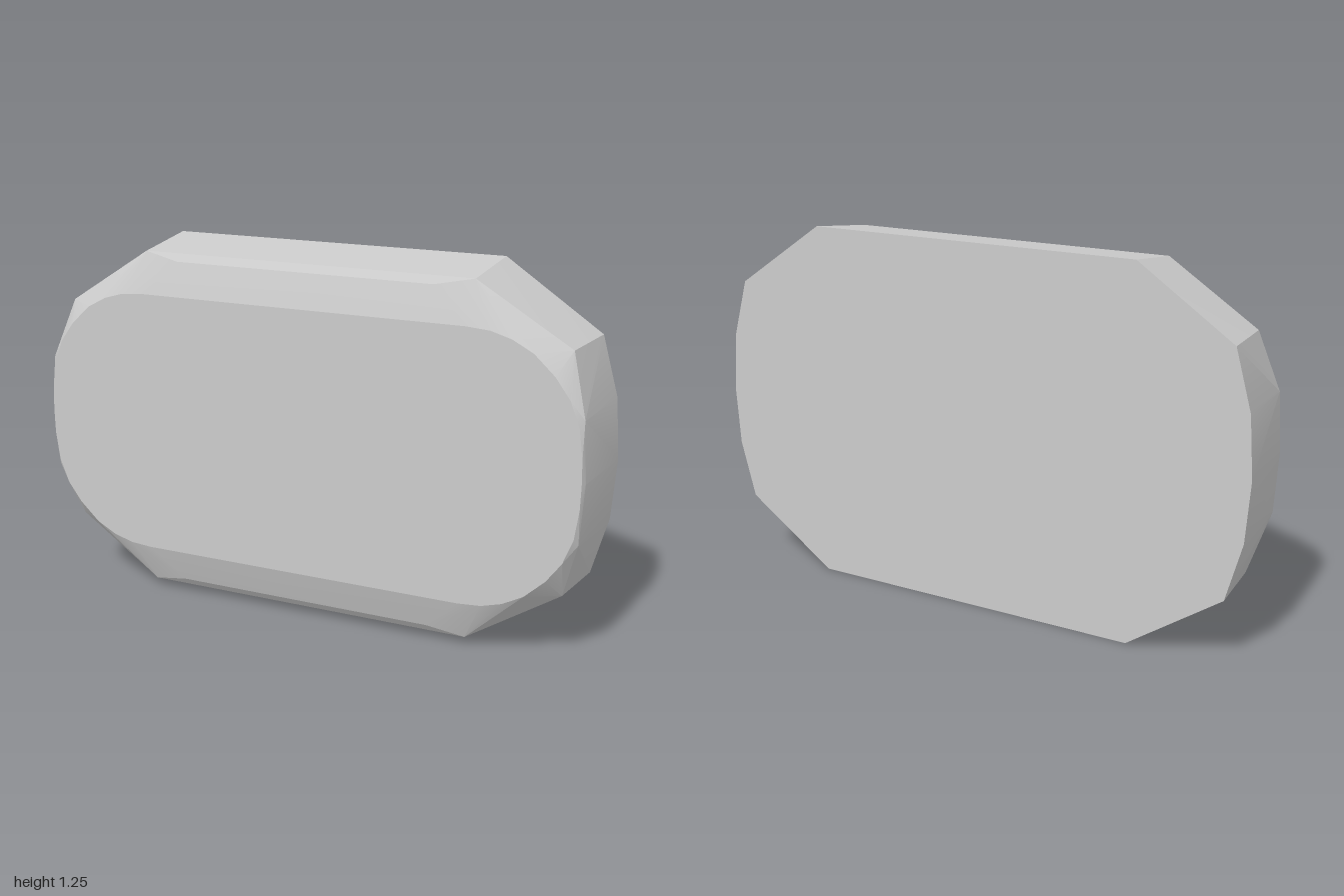
import * as THREE from 'three';
import { ConvexGeometry } from 'three/addons/geometries/ConvexGeometry.js';
import { toCreasedNormals } from 'three/addons/utils/BufferGeometryUtils.js';

const MID_Y = 0.627;

// One quadrant of each outline: [x, y from the middle, z]
const backRim = [[0.6, 0.627, -0.157], [0.93, 0.403, -0.157], [0.985, 0.205, -0.157], [1, 0, -0.157]];
const shoulder = [
  [0.59, 0.597, 0.103], [0.46, 0.572, 0.122], [0.905, 0.4, 0.085],
  [0.964, 0.2, 0.14], [0.976, 0, 0.14],
];
const frontRim = [
  [0.58, 0.458, 0.157], [0.66, 0.452, 0.157], [0.73, 0.432, 0.157], [0.8, 0.395, 0.157],
  [0.87, 0.33, 0.157], [0.92, 0.262, 0.157], [0.952, 0.18, 0.157], [0.966, 0.08, 0.157], [0.968, 0, 0.157],
];

// Mirror a quadrant into a full outline
function mirrorOutline(points) {
  const out = [];
  for (const [x, y, z] of points) {
    for (const sx of [-1, 1]) {
      for (const sy of y === 0 ? [1] : [-1, 1]) {
        out.push(new THREE.Vector3(sx * x, MID_Y + sy * y, z));
      }
    }
  }
  return out;
}

export function createModel() {
  const group = new THREE.Group();
  group.name = 'bevelledSlab';

  // Solid slab: wide flat back, tapered sides, bevelled shoulder, rounded flat front
  const hull = new ConvexGeometry([backRim, shoulder, frontRim].flatMap(mirrorOutline));
  const body = new THREE.Mesh(
    toCreasedNormals(hull, 0.22),
    new THREE.MeshStandardMaterial({ color: 0xcccccc }),
  );
  body.name = 'body';
  group.add(body);
  return group;
}
